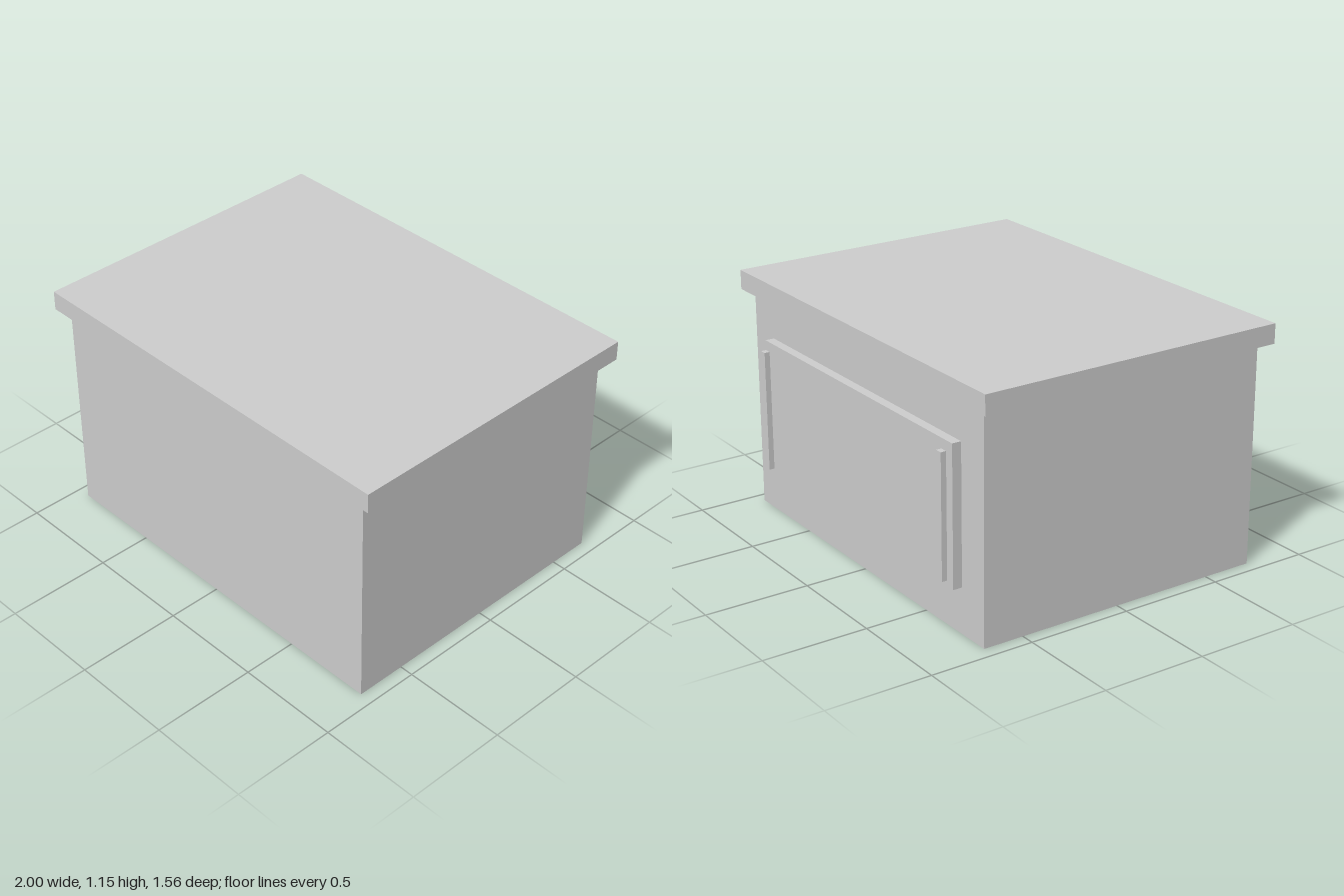
import * as THREE from 'three';

export function createModel() {
  const group = new THREE.Group();
  const lightGrey = new THREE.MeshStandardMaterial({ color: 0xcccccc });
  lightGrey.name = 'lightGrey';

  // Box given by its lower and upper corners
  function addBox(name, [x0, y0, z0], [x1, y1, z1]) {
    const mesh = new THREE.Mesh(new THREE.BoxGeometry(x1 - x0, y1 - y0, z1 - z0), lightGrey);
    mesh.position.set((x0 + x1) / 2, (y0 + y1) / 2, (z0 + z1) / 2);
    mesh.name = name;
    group.add(mesh);
  }

  // Cabinet body and overhanging top
  addBox('body', [-0.935, 0, -0.697], [0.935, 1.06, 0.742]);
  addBox('countertop', [-1, 1.06, -0.735], [1, 1.153, 0.78]);

  // Door panel on the back, with an upright handle bar standing off each side
  addBox('doorPanel', [-0.773, 0.217, -0.741], [0.773, 0.873, -0.697]);
  for (const side of [-1, 1]) {
    const x = side * 0.731;
    addBox(side > 0 ? 'leftHandle' : 'rightHandle', [x - 0.017, 0.255, -0.78], [x + 0.017, 0.835, -0.754]);
  }

  return group;
}
